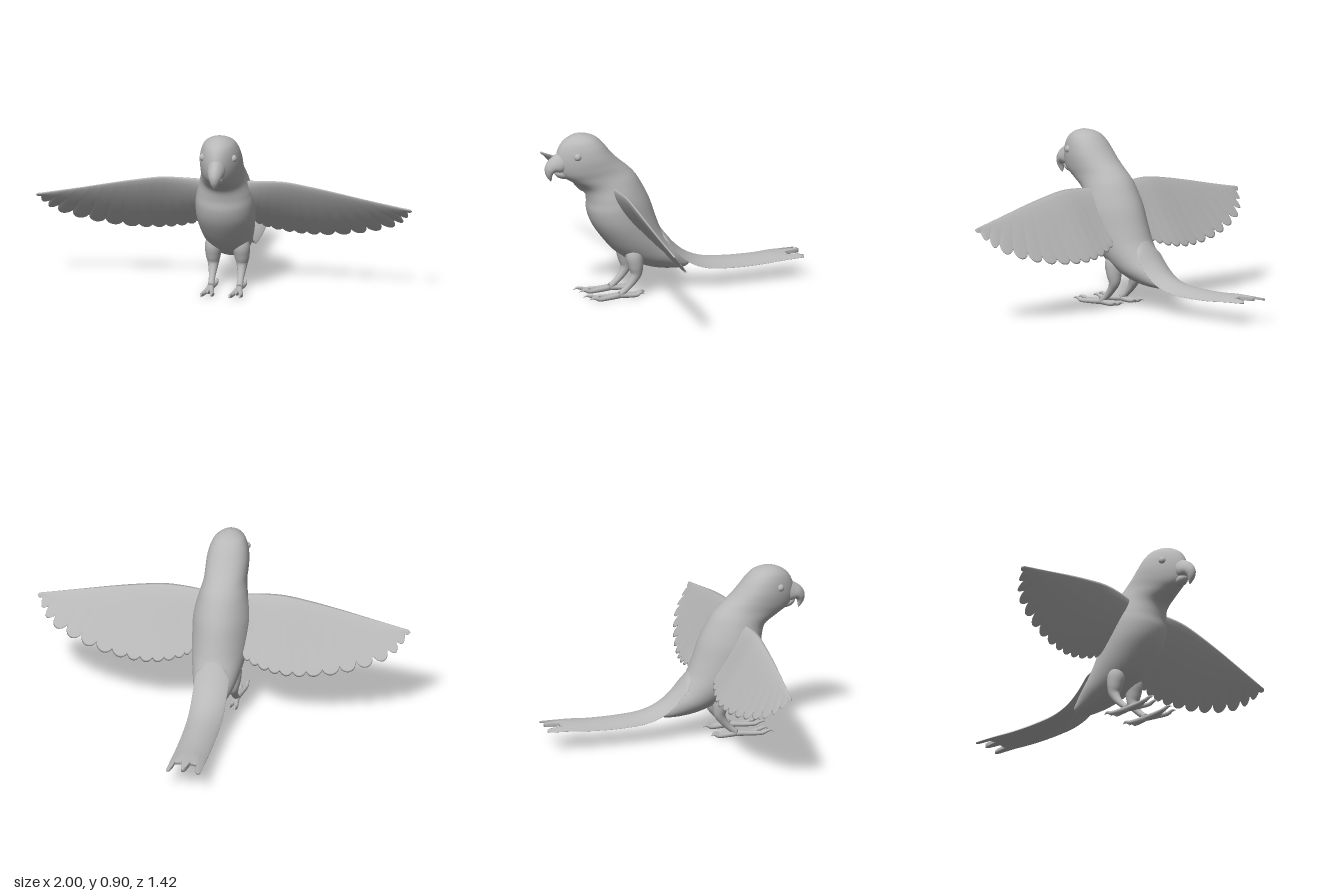
import * as THREE from 'three';

const V = (x, y, z) => new THREE.Vector3(x, y, z);
const curve = (pts) => new THREE.CatmullRomCurve3(pts.map((p) => V(...p)));

// Skins a list of closed rings, caps both ends and turns the faces outward
function loft(rings) {
  const n = rings[0].length;
  const pos = [];
  const idx = [];
  rings.forEach((r) => r.forEach((p) => pos.push(p.x, p.y, p.z)));
  for (let i = 0; i < rings.length - 1; i++) {
    for (let j = 0; j < n; j++) {
      const k = (j + 1) % n;
      const a = i * n + j, b = i * n + k, c = a + n, d = b + n;
      idx.push(a, c, b, b, c, d);
    }
  }
  // Caps join opposite points of the ring, so notched ends stay open
  const last = (rings.length - 1) * n;
  for (let j = 0; j < n / 2; j++) {
    const a = j, b = j + 1, c = (n - j) % n, d = n - j - 1;
    if (c !== a) idx.push(a, b, c, last + a, last + c, last + b);
    if (d !== b) idx.push(b, d, c, last + b, last + c, last + d);
  }
  // Signed volume decides the winding
  const at = (i) => V(pos[i * 3], pos[i * 3 + 1], pos[i * 3 + 2]);
  let vol = 0;
  for (let i = 0; i < idx.length; i += 3) {
    vol += at(idx[i]).dot(at(idx[i + 1]).cross(at(idx[i + 2])));
  }
  if (vol < 0) idx.reverse();
  const g = new THREE.BufferGeometry();
  g.setAttribute('position', new THREE.Float32BufferAttribute(pos, 3));
  g.setIndex(idx);
  g.computeVertexNormals();
  return g;
}

// Makes rings from a function of u (0..1 along) and angle a (around)
function sweep(nu, nv, fn) {
  const rings = [];
  for (let i = 0; i <= nu; i++) {
    const ring = [];
    for (let j = 0; j < nv; j++) ring.push(fn(i / nu, (j / nv) * Math.PI * 2));
    rings.push(ring);
  }
  return loft(rings);
}

// Rows: back z, back y, belly z, belly y, half width, egg (above 0 is narrower at the front)
function sectionLoft(rows, nu, nv) {
  const back = curve(rows.map((r) => [0, r[1], r[0]]));
  const belly = curve(rows.map((r) => [0, r[3], r[2]]));
  const width = curve(rows.map((r, i) => [r[4], i * 0.05, r[5]]));
  return sweep(nu, nv, (u, a) => {
    const b = back.getPoint(u), f = belly.getPoint(u), w = width.getPoint(u);
    const p = b.clone().add(f).multiplyScalar(0.5);
    p.addScaledVector(b.sub(f), 0.5 * Math.cos(a));
    p.x = Math.max(w.x, 0) * Math.sin(a) * (1 + w.z * Math.cos(a));
    return p;
  });
}

// Rows: x, y, z, radius; a limb with changing thickness
function limb(rows, nu, nv) {
  const path = curve(rows.map((r) => r.slice(0, 3)));
  const rad = curve(rows.map((r, i) => [r[3], i * 0.05, 0]));
  return sweep(nu, nv, (u, a) => {
    const t = path.getTangent(u);
    const side = V(1, 0, 0).addScaledVector(t, -t.x).normalize();
    const up = t.clone().cross(side);
    const r = rad.getPoint(u).x;
    return path.getPoint(u).addScaledVector(side, r * Math.cos(a)).addScaledVector(up, r * Math.sin(a));
  });
}

// Wing with a rounded leading edge and feather tips that lengthen outward
function wing(s) {
  const lead = curve([[0.1, 0.618, 0.366], [0.2, 0.626, 0.374], [0.32, 0.628, 0.376], [0.47, 0.606, 0.377],
    [0.62, 0.577, 0.376], [0.79, 0.541, 0.372], [0.985, 0.502, 0.365]]);
  const trail = curve([[0.1, 0.36, 0], [0.19, 0.312, 0], [0.33, 0.28, 0], [0.5, 0.278, 0],
    [0.72, 0.313, 0], [0.92, 0.39, 0], [0.998, 0.49, 0]]);
  return sweep(190, 20, (u, a) => {
    const l = lead.getPoint(u), e = trail.getPoint(u);
    const notch = 1 - Math.sqrt(Math.abs(Math.sin(Math.PI * 14.5 * u)));
    e.z = l.z - 0.68 * (l.y - e.y);
    e.lerp(l, (0.06 + 0.42 * u ** 4) * notch);
    const t = (1 - Math.cos(a)) / 2;
    const p = l.lerp(e, t);
    const thick = (0.036 - 0.029 * u) * (1 - 0.72 * t) * Math.sin(a) + 0.014 * (1 - u) * Math.sin(Math.PI * t);
    p.y -= 0.56 * thick;
    p.z += 0.83 * thick;
    p.x *= s;
    return p;
  });
}

// Long tail, arched across, ending in three narrow feather tips
function tail() {
  const mid = curve([[0, 0.38, 0.1], [0, 0.31, 0.05], [0, 0.24, -0.01], [0, 0.185, -0.08], [0, 0.15, -0.17],
    [0, 0.135, -0.3], [0, 0.131, -0.45], [0, 0.135, -0.6], [0, 0.132, -0.71]]);
  return sweep(50, 128, (u, a) => {
    const c = -Math.cos(a);
    const p = mid.getPoint(u);
    // Feather tips lie at the middle and near both edges
    const off = Math.min(Math.abs(c), Math.abs(Math.abs(c) - 0.86)) * 0.092;
    const tip = Math.sqrt(Math.max(0, 1 - (off / 0.02) ** 2));
    if (p.z < -0.5) p.z = -0.5 + (p.z + 0.5) * (0.62 + 0.38 * tip);
    p.x = 0.092 * Math.min(1, 0.5 + u * 4) * c;
    p.y += 0.01 * Math.sin(a) - 0.036 * c * c * (1 - 0.6 * u ** 3);
    return p;
  });
}

export function createModel() {
  const model = new THREE.Group();
  model.name = 'bird';
  const grey = new THREE.MeshStandardMaterial({ color: 0xb8b8b8 });
  grey.name = 'plain grey';
  const add = (name, geometry, parent = model) => {
    const m = new THREE.Mesh(geometry, grey);
    m.name = name;
    parent.add(m);
    return m;
  };

  // Head and body in one skin
  add('body', sectionLoft([
    [0.52, 0.905, 0.525, 0.905, 0.004, 0],
    [0.47, 0.897, 0.575, 0.89, 0.045, 0.12],
    [0.43, 0.88, 0.62, 0.856, 0.077, 0.22],
    [0.392, 0.845, 0.645, 0.805, 0.096, 0.28],
    [0.355, 0.8, 0.65, 0.745, 0.106, 0.3],
    [0.31, 0.752, 0.628, 0.69, 0.109, 0.25],
    [0.258, 0.708, 0.565, 0.645, 0.112, 0.12],
    [0.213, 0.662, 0.492, 0.595, 0.126, 0],
    [0.175, 0.6, 0.473, 0.535, 0.143, -0.08],
    [0.137, 0.525, 0.471, 0.475, 0.154, -0.1],
    [0.1, 0.42, 0.45, 0.41, 0.154, -0.1],
    [0.068, 0.34, 0.395, 0.325, 0.144, -0.05],
    [0.02, 0.272, 0.32, 0.24, 0.126, 0],
    [-0.03, 0.222, 0.215, 0.172, 0.105, 0],
    [-0.07, 0.182, 0.1, 0.13, 0.076, 0],
    [-0.093, 0.152, -0.03, 0.115, 0.045, 0],
    [-0.093, 0.13, -0.08, 0.12, 0.008, 0],
  ], 90, 40));

  // Hooked upper beak and small lower beak
  add('upperBeak', sectionLoft([
    [0.61, 0.825, 0.6, 0.7, 0.05, 0],
    [0.655, 0.8, 0.635, 0.702, 0.045, -0.2],
    [0.692, 0.772, 0.655, 0.708, 0.038, -0.2],
    [0.711, 0.735, 0.667, 0.703, 0.03, -0.2],
    [0.708, 0.7, 0.672, 0.69, 0.021, -0.1],
    [0.692, 0.672, 0.674, 0.672, 0.011, 0],
    [0.679, 0.657, 0.677, 0.658, 0.002, 0],
  ], 36, 24));
  const lower = add('lowerBeak', new THREE.SphereGeometry(1, 24, 16));
  lower.scale.set(0.034, 0.026, 0.045);
  lower.position.set(0, 0.694, 0.616);
  lower.rotation.x = -0.35;

  add('tail', tail());

  // Paired parts
  for (const s of [1, -1]) {
    const side = s > 0 ? 'left' : 'right';
    add(side + 'Wing', wing(s));
    const eye = add(side + 'Eye', new THREE.SphereGeometry(0.02, 24, 16));
    eye.position.set(s * 0.08, 0.8, 0.558);

    const leg = new THREE.Group();
    leg.name = side + 'Leg';
    model.add(leg);
    const x = s * 0.076;
    add('shank', limb([[s * 0.062, 0.29, 0.23, 0.03], [s * 0.072, 0.23, 0.238, 0.046], [x, 0.175, 0.232, 0.041],
      [x, 0.13, 0.229, 0.031], [x, 0.095, 0.245, 0.023], [x, 0.055, 0.278, 0.017], [x, 0.022, 0.318, 0.017]], 36, 20), leg);
    // Two long toes forward, one short between, two behind, each ending in a claw
    for (const [dx, z] of [[0.027, 0.5], [-0.025, 0.515], [0, 0.45], [0.016, 0.19], [-0.016, 0.175]]) {
      const at = (t, y, r) => [x + dx * Math.min(1, t * 1.5), y, 0.32 + (z - 0.32) * t, r];
      add('toe', limb([at(0, 0.018, 0.017), at(0.35, 0.014, 0.013), at(0.7, 0.015, 0.011),
        at(0.8, 0.022, 0.009), at(0.9, 0.025, 0.006), at(1, 0.017, 0.001)], 18, 10), leg);
    }
  }
  return model;
}
